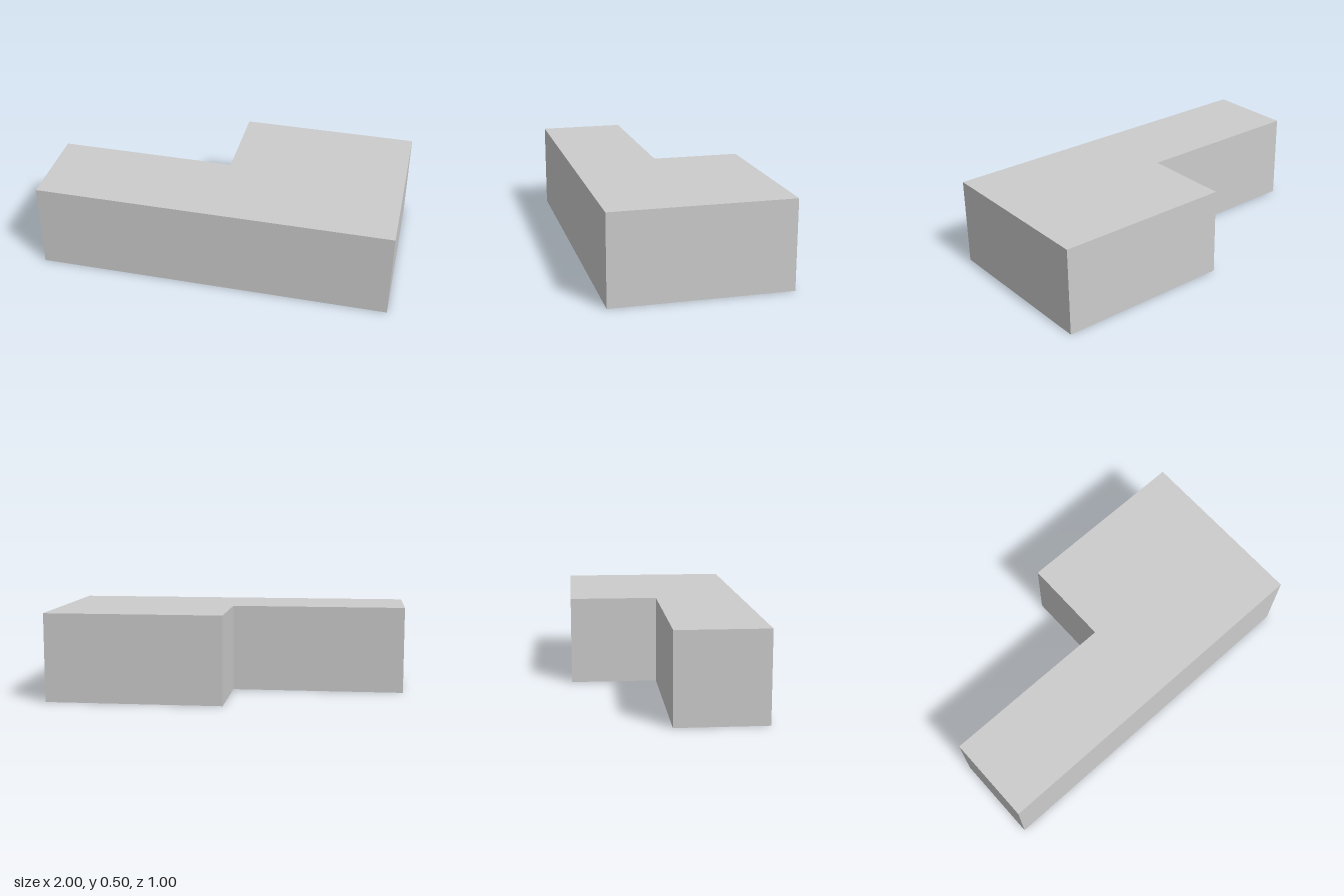
import * as THREE from 'three';

export function createModel() {
  const group = new THREE.Group();

  // L-shaped footprint, drawn as (x, -z) so that it lies flat after the turn
  const footprint = new THREE.Shape([
    [-1, -0.5], [1, -0.5], [1, 0.5], [0, 0.5], [0, 0], [-1, 0],
  ].map(([x, y]) => new THREE.Vector2(x, y)));

  // Raise the footprint into a solid block standing on the floor
  const geometry = new THREE.ExtrudeGeometry(footprint, { depth: 0.5, bevelEnabled: false });
  geometry.rotateX(-Math.PI / 2);

  const block = new THREE.Mesh(
    geometry,
    new THREE.MeshStandardMaterial({ color: 0xcccccc, flatShading: true }),
  );
  block.name = 'lShapedBlock';
  group.add(block);
  return group;
}
